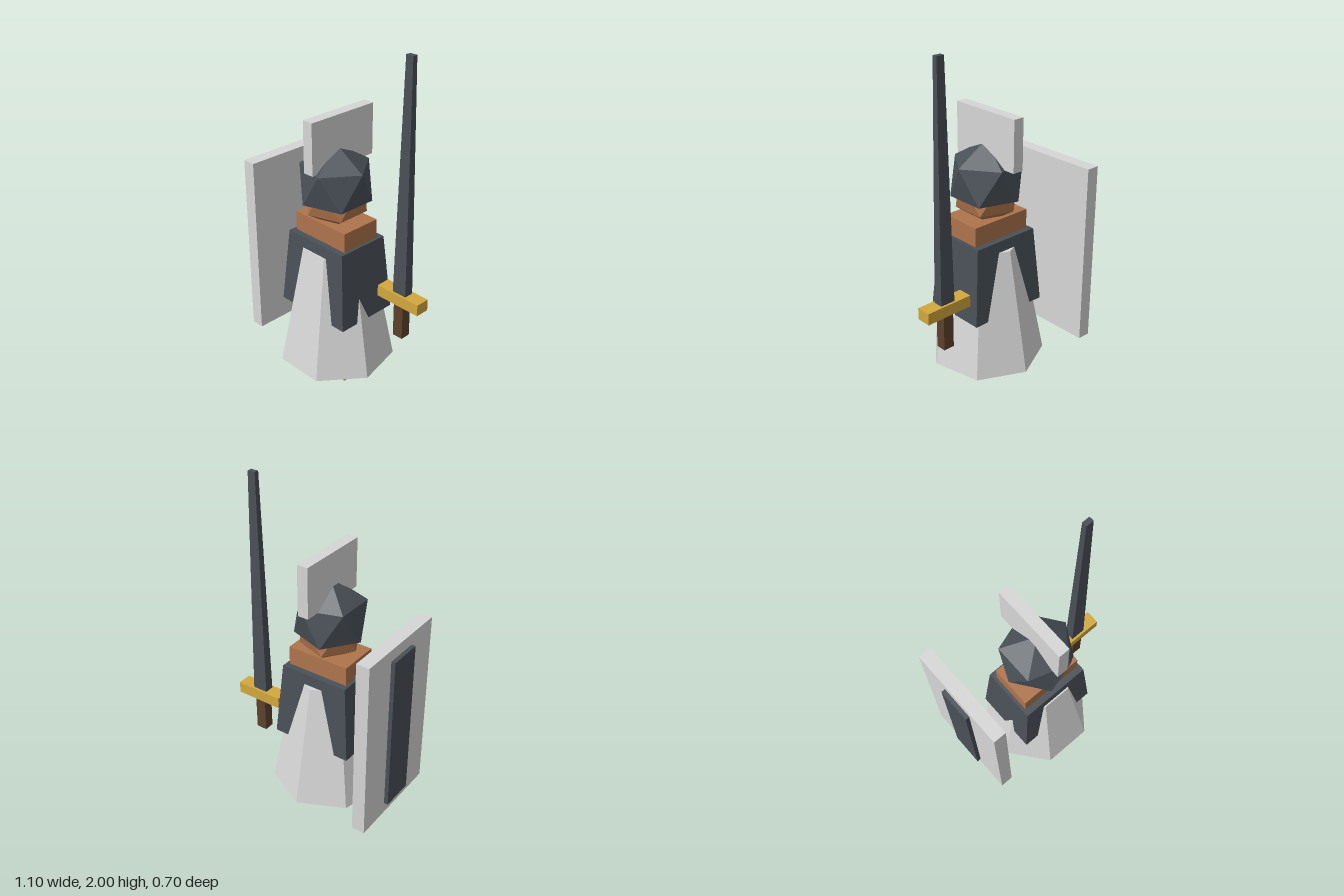
import * as THREE from 'three';

function flatMaterial(name, color) {
  const m = new THREE.MeshStandardMaterial({ color, flatShading: true });
  m.name = name;
  return m;
}

export function createModel() {
  const steel = flatMaterial('dark steel', 0x495057);
  const skin = flatMaterial('skin', 0xae744c);
  const cloth = flatMaterial('pale grey', 0xd6d6d6);
  const gold = flatMaterial('gold', 0xd2a93e);
  const leather = flatMaterial('leather brown', 0x5e412c);

  const model = new THREE.Group();
  model.name = 'knight';
  const CX = -0.022, CZ = 0.034; // axis of the body

  function add(name, geometry, material, x, y, z, parent = model) {
    const mesh = new THREE.Mesh(geometry, material);
    mesh.name = name;
    mesh.position.set(x, y, z);
    parent.add(mesh);
    return mesh;
  }

  // Box from y0 to y1 whose upper face is scaled in x and z
  function block(name, material, w, d, y0, y1, x, z, topX = 1, topZ = topX, parent = model) {
    const g = new THREE.BoxGeometry(w, y1 - y0, d);
    const p = g.attributes.position;
    for (let i = 0; i < p.count; i++) {
      if (p.getY(i) > 0) p.setXYZ(i, p.getX(i) * topX, p.getY(i), p.getZ(i) * topZ);
    }
    g.computeVertexNormals();
    return add(name, g, material, x, (y0 + y1) / 2, z, parent);
  }

  // Icosahedron standing on a corner; bottom sets the height of its lowest corner
  function icosahedron(radius, bottom = -radius) {
    const ring = radius * 2 / Math.sqrt(5), h = radius / Math.sqrt(5);
    const corner = (k, y) => {
      const a = k * Math.PI / 5;
      return [ring * Math.cos(a), y, ring * Math.sin(a)];
    };
    const v = [];
    for (let k = 0; k < 10; k += 2) {
      const u0 = corner(k, h), u1 = corner(k + 2, h);
      const l0 = corner(k + 1, -h), l1 = corner(k + 3, -h);
      v.push(...[0, radius, 0], ...u1, ...u0);
      v.push(...u0, ...u1, ...l0);
      v.push(...u1, ...l1, ...l0);
      v.push(...[0, bottom, 0], ...l0, ...l1);
    }
    const g = new THREE.BufferGeometry();
    g.setAttribute('position', new THREE.Float32BufferAttribute(v, 3));
    g.computeVertexNormals();
    return g;
  }

  // Feet
  for (const side of [-1, 1]) {
    block(side < 0 ? 'rightLeg' : 'leftLeg', skin, 0.162, 0.256, 0, 0.3, CX + side * 0.115, CZ);
  }

  // Seven-sided robe, one corner pointing backwards
  const robe = new THREE.CylinderGeometry(0.2, 0.348, 0.745, 7, 1);
  robe.rotateY(Math.PI);
  add('robe', robe, cloth, CX, 0.4475, CZ);

  // Tapered tunic and the shoulders above it
  block('tunic', steel, 0.512, 0.397, 0.42, 0.885, CX, CZ, 0.842);
  block('shoulders', skin, 0.393, 0.256, 0.8, 1.0, CX, CZ);

  // Head, helmet with a shallow underside, and crest
  add('head', icosahedron(0.197), skin, CX, 1.13, CZ);
  add('helmet', icosahedron(0.23, -0.14), steel, CX, 1.212, CZ);
  block('crest', cloth, 0.067, 0.461, 1.317, 1.62, CX, 0.01);

  // Shield on the right side
  const shield = new THREE.Group();
  shield.name = 'shield';
  model.add(shield);
  block('shieldBoard', cloth, 0.08, 0.627, 0.14, 1.258, -0.488, -0.036, 1, 1, shield);
  block('shieldStrip', steel, 0.025, 0.206, 0.21, 1.188, -0.54, -0.036, 1, 1, shield);

  // Sword on the left side
  const sword = new THREE.Group();
  sword.name = 'sword';
  model.add(sword);
  const SX = 0.396, SZ = -0.082;
  block('grip', leather, 0.068, 0.063, 0.33, 0.55, SX, SZ, 1, 1, sword);
  block('guard', gold, 0.3, 0.088, 0.55, 0.62, SX, SZ, 1, 1, sword);
  block('blade', steel, 0.094, 0.059, 0.62, 2.0, SX, SZ, 0.5, 0.5, sword);

  return model;
}
